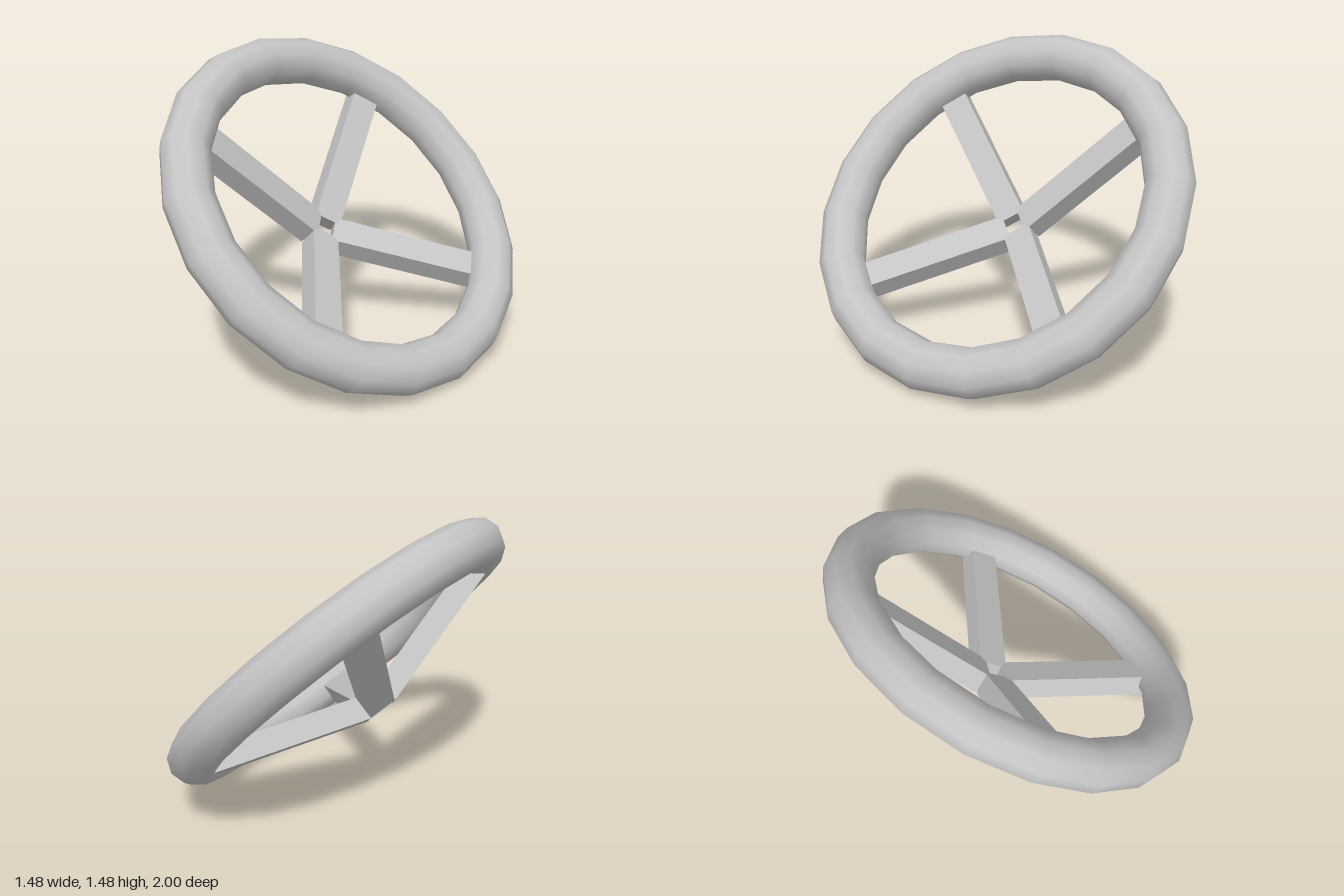
import * as THREE from 'three';

const RING_R = 0.88, TUBE_R = 0.12;
const SPOKE = { width: 0.144, depth: 0.12, length: 0.81, tilt: 0.304, startR: 0.078, startH: -0.346 };

export function createModel() {
  const model = new THREE.Group();
  model.name = 'steeringWheel';
  const grey = new THREE.MeshStandardMaterial({ color: 0xc4c4c4 });
  grey.name = 'light grey';

  // Wheel frame: local z is the wheel axis, leaning 45 degrees towards +x
  const wheel = new THREE.Group();
  wheel.name = 'wheel';
  const s = Math.SQRT1_2;
  wheel.quaternion.setFromRotationMatrix(new THREE.Matrix4().makeBasis(
    new THREE.Vector3(s, -s, 0), new THREE.Vector3(0, 0, -1), new THREE.Vector3(s, s, 0)));
  wheel.position.y = RING_R * s + TUBE_R;
  model.add(wheel);

  // Rim
  const rim = new THREE.Mesh(new THREE.TorusGeometry(RING_R, TUBE_R, 10, 20), grey);
  rim.name = 'rim';
  wheel.add(rim);

  // Four square spokes, sloping from the sunken hub up into the rim
  const { width, depth, length, tilt, startR, startH } = SPOKE;
  const spokeGeometry = new THREE.BoxGeometry(length, width, depth);
  spokeGeometry.translate(length / 2, 0, depth / 2); // origin at the lower inner edge
  spokeGeometry.rotateY(-tilt);
  spokeGeometry.translate(startR, 0, startH);
  for (let i = 0; i < 4; i++) {
    const spoke = new THREE.Mesh(spokeGeometry, grey);
    spoke.name = `spoke${i + 1}`;
    spoke.rotation.z = Math.PI / 4 + i * Math.PI / 2;
    wheel.add(spoke);
  }
  return model;
}
